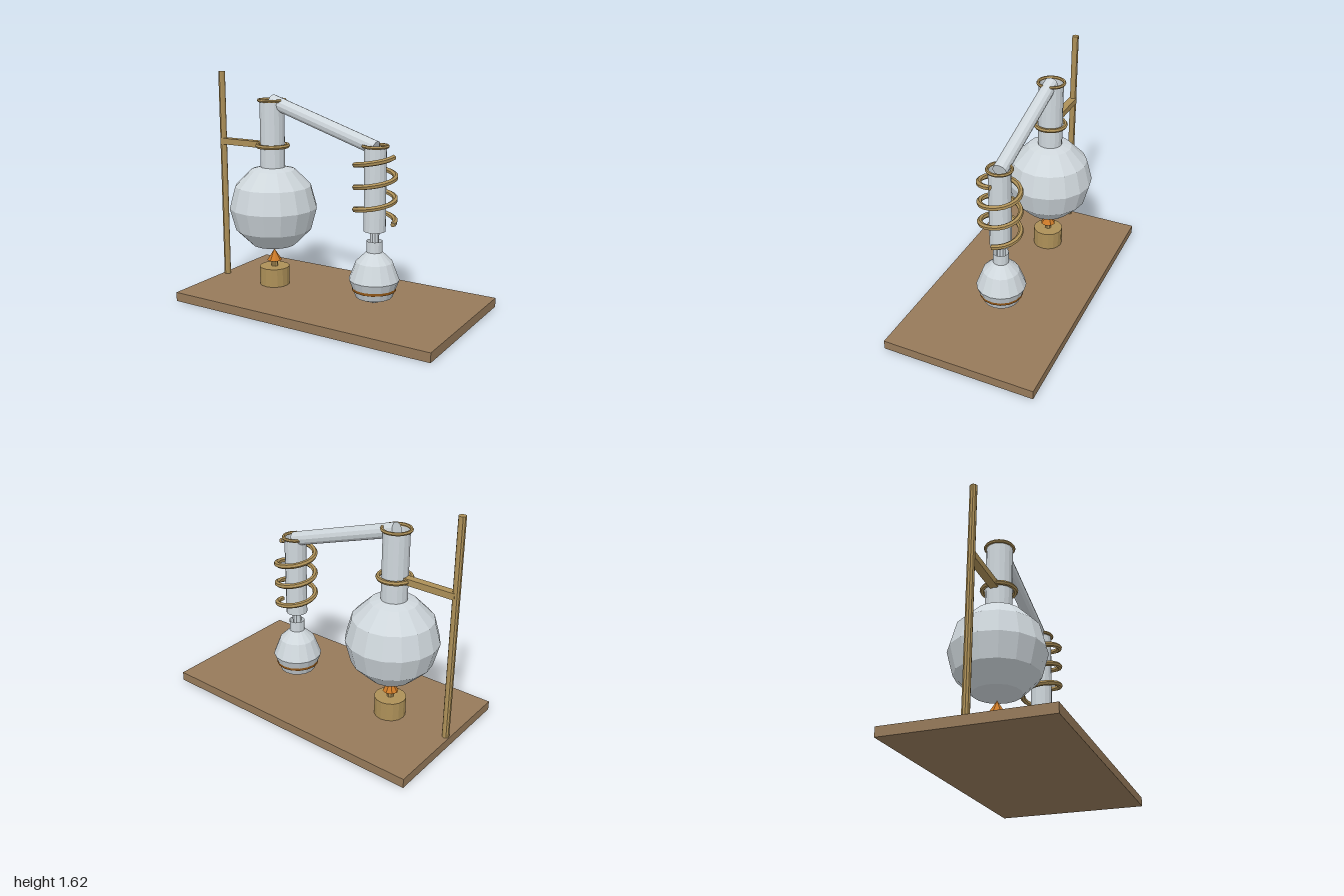
import * as THREE from 'three';

export function createModel() {
  const model = new THREE.Group();
  model.name = 'distillationApparatus';

  const material = (name, color, side = THREE.FrontSide) => {
    const m = new THREE.MeshStandardMaterial({ color, side, flatShading: true });
    m.name = name;
    return m;
  };
  const wood = material('wood', 0x967a5a);
  const brass = material('brass', 0xad9058);
  const glass = material('glass', 0xcfd7dc, THREE.DoubleSide);
  const flameOrange = material('flameOrange', 0xcc7a28);
  const amber = material('amber', 0x8e5518);

  const add = (name, geometry, mat, x = 0, y = 0, z = 0) => {
    const mesh = new THREE.Mesh(geometry, mat);
    mesh.name = name;
    mesh.position.set(x, y, z);
    model.add(mesh);
    return mesh;
  };
  // upright cylinder between two heights
  const column = (name, mat, x, y0, y1, r, sides, open = false, rTop = r) =>
    add(name, new THREE.CylinderGeometry(rTop, r, y1 - y0, sides, 1, open), mat, x, (y0 + y1) / 2);
  // horizontal ring
  const ring = (name, x, y, radius, tube) =>
    add(name, new THREE.TorusGeometry(radius, tube, 6, 20).rotateX(Math.PI / 2), brass, x, y);

  const boilerX = -0.52, condenserX = 0.32;

  // Base board, stand and clamp
  add('baseBoard', new THREE.BoxGeometry(2, 0.065, 1.09), wood, 0, 0.0325);
  column('standPost', brass, -0.97, 0.065, 1.615, 0.025, 10);
  add('clampArm', new THREE.BoxGeometry(0.45, 0.045, 0.055), brass, -0.745, 1.1);
  ring('clampRing', boilerX, 1.1, 0.11, 0.016);

  // Burner
  column('burnerBody', brass, boilerX, 0.065, 0.2, 0.11, 16);
  column('burnerNozzle', brass, boilerX, 0.2, 0.25, 0.024, 8);
  add('flame', new THREE.ConeGeometry(0.055, 0.085, 8), flameOrange, boilerX, 0.2875);

  // Boiling flask
  add('boilingFlask', new THREE.SphereGeometry(0.32, 16, 6), glass, boilerX, 0.65);
  column('boilingFlaskNeck', glass, boilerX, 0.93, 1.425, 0.089, 16, true);
  ring('boilingFlaskLip', boilerX, 1.425, 0.094, 0.012);

  // Sloping vapour tube
  const start = new THREE.Vector3(boilerX, 1.42, 0);
  const end = new THREE.Vector3(condenserX, 1.152, 0);
  const slope = end.clone().sub(start);
  const vapour = add('vapourTube', new THREE.CylinderGeometry(0.05, 0.05, slope.length(), 12), glass);
  vapour.position.copy(start).lerp(end, 0.5);
  vapour.quaternion.setFromUnitVectors(new THREE.Vector3(0, 1, 0), slope.normalize());

  // Condenser: open jacket with a closed bottom, rim and outlet
  const jacket = [[0, 0.585], [0.076, 0.585], [0.076, 1.165]].map(p => new THREE.Vector2(...p));
  add('condenserJacket', new THREE.LatheGeometry(jacket, 14), glass, condenserX);
  ring('condenserRim', condenserX, 1.165, 0.082, 0.012);
  column('condenserOutlet', glass, condenserX, 0.45, 0.59, 0.032, 10);

  // Cooling coil: three turns down from the left side
  const turns = 3, coilPoints = [];
  for (let i = 0; i <= turns * 16; i++) {
    const a = (i / 16) * Math.PI * 2;
    coilPoints.push(new THREE.Vector3(
      0.137 * Math.cos(a), 1.102 - 0.152 * (i / 16), 0.137 * Math.sin(a)));
  }
  const coilCurve = new THREE.CatmullRomCurve3(coilPoints);
  add('coolingCoil', new THREE.TubeGeometry(coilCurve, 60, 0.019, 6), brass, condenserX);
  for (const t of [0, 1]) {
    const cap = add('coilEnd', new THREE.CircleGeometry(0.018, 6), brass);
    cap.position.copy(coilCurve.getPoint(t)).x += condenserX;
    const outward = coilCurve.getTangent(t).multiplyScalar(t ? 1 : -1);
    cap.quaternion.setFromUnitVectors(new THREE.Vector3(0, 0, 1), outward);
  }

  // Receiving flask with its band
  const flask = [[0, 0.068], [0.128, 0.122], [0.175, 0.245], [0.127, 0.37], [0.055, 0.44]]
    .map(p => new THREE.Vector2(...p));
  add('receivingFlask', new THREE.LatheGeometry(flask, 16), glass, condenserX);
  column('receivingFlaskNeck', glass, condenserX, 0.43, 0.517, 0.055, 12, true);
  column('liquidBand', amber, condenserX, 0.169, 0.189, 0.153, 16);

  return model;
}
